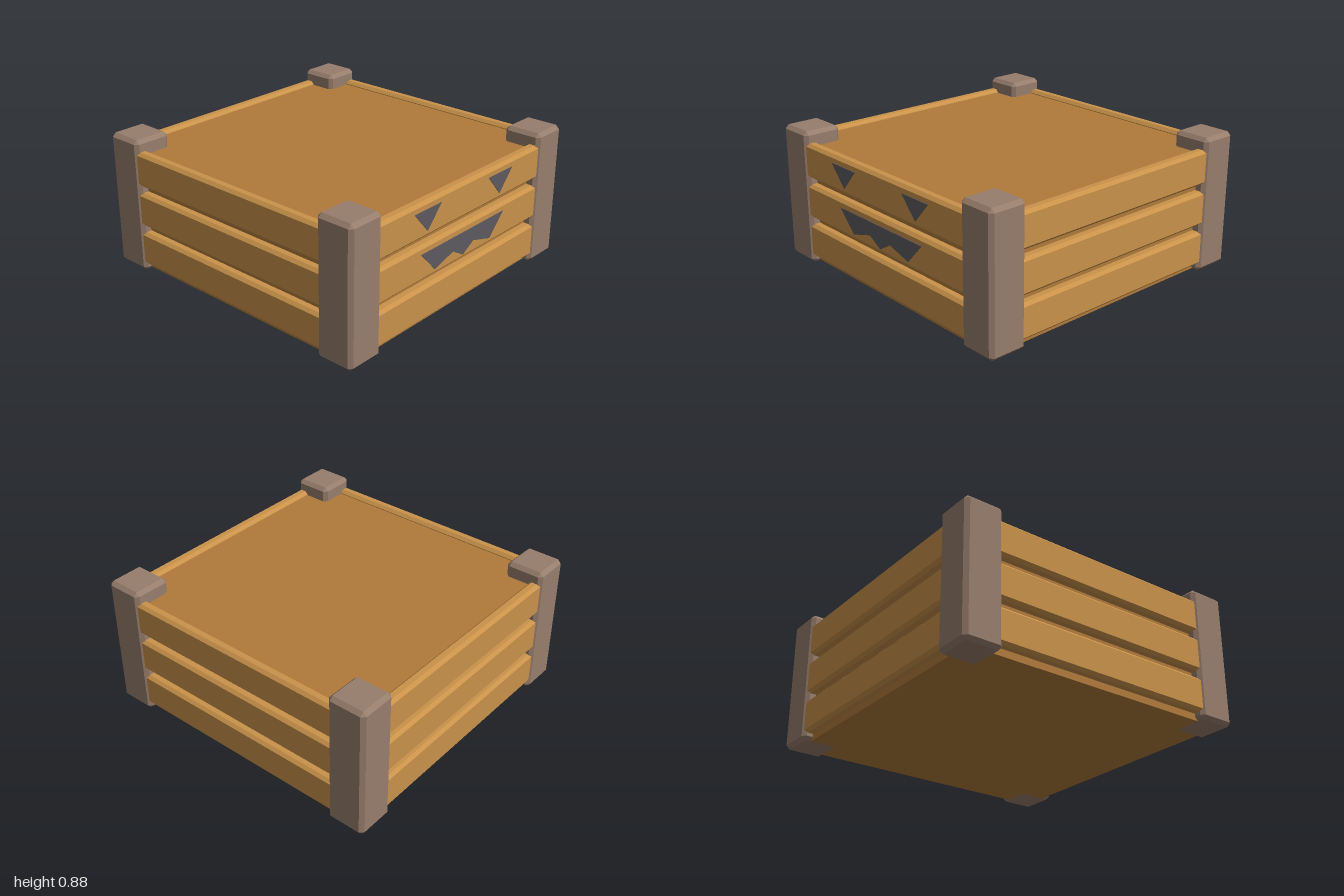
import * as THREE from 'three';
import { ConvexGeometry } from 'three/addons/geometries/ConvexGeometry.js';

const material = (name, color) => {
  const m = new THREE.MeshStandardMaterial({ color });
  m.name = name;
  return m;
};

// Box with flat chamfers of width c on every edge, centred on the origin
function chamferBox(w, h, d, c) {
  const points = [];
  for (const x of [-w / 2, w / 2]) for (const y of [-h / 2, h / 2]) for (const z of [-d / 2, d / 2]) {
    const ix = x - Math.sign(x) * c, iy = y - Math.sign(y) * c, iz = z - Math.sign(z) * c;
    points.push(new THREE.Vector3(x, iy, iz), new THREE.Vector3(ix, y, iz), new THREE.Vector3(ix, iy, z));
  }
  return new ConvexGeometry(points);
}

export function createModel() {
  const plankWood = material('light wood', 0xc9924a);
  const coreWood = material('dark wood', 0xb07a3a);
  const postWood = material('grey brown wood', 0x977d6c);
  const faceInk = material('dark grey', 0x5c5a60);

  const model = new THREE.Group();
  model.name = 'crate';
  const add = (name, geometry, mat, x, y, z, parent = model) => {
    const mesh = new THREE.Mesh(geometry, mat);
    mesh.name = name;
    mesh.position.set(x, y, z);
    parent.add(mesh);
    return mesh;
  };

  // Solid body behind the planks
  add('core', new THREE.BoxGeometry(1.87, 0.785, 1.87), coreWood, 0, 0.3935, 0);

  // Corner posts
  const post = chamferBox(0.255, 0.885, 0.255, 0.024);
  for (const x of [-1, 1]) for (const z of [-1, 1]) {
    add('cornerPost', post, postWood, x * 0.8725, 0.4425, z * 0.8725);
  }

  // Three planks on each of the four sides
  const plank = chamferBox(1.7, 0.225, 0.075, 0.019);
  ['front', 'left', 'back', 'right'].forEach((side, i) => {
    const wall = new THREE.Group();
    wall.name = side + 'Planks';
    wall.rotation.y = i * Math.PI / 2;
    for (let row = 0; row < 3; row++) {
      add('plank', plank, plankWood, 0, 0.1575 + row * 0.27, 0.9535, wall);
    }
    model.add(wall);
  });

  // Painted face on the front
  const plate = (name, corners) => {
    const shape = new THREE.Shape(corners.map(([x, y]) => new THREE.Vector2(x, y)));
    add(name, new THREE.ExtrudeGeometry(shape, { depth: 0.006, bevelEnabled: false }), faceInk, 0, 0, 0.989);
  };
  for (const s of [-1, 1]) {
    plate('eye', [[s * 0.35 - 0.12, 0.76], [s * 0.35, 0.625], [s * 0.35 + 0.12, 0.76]]);
  }
  plate('mouth', [[-0.4, 0.49], [-0.27, 0.352], [-0.1, 0.4], [0, 0.342], [0.1, 0.4], [0.27, 0.352], [0.4, 0.49]]);

  return model;
}
